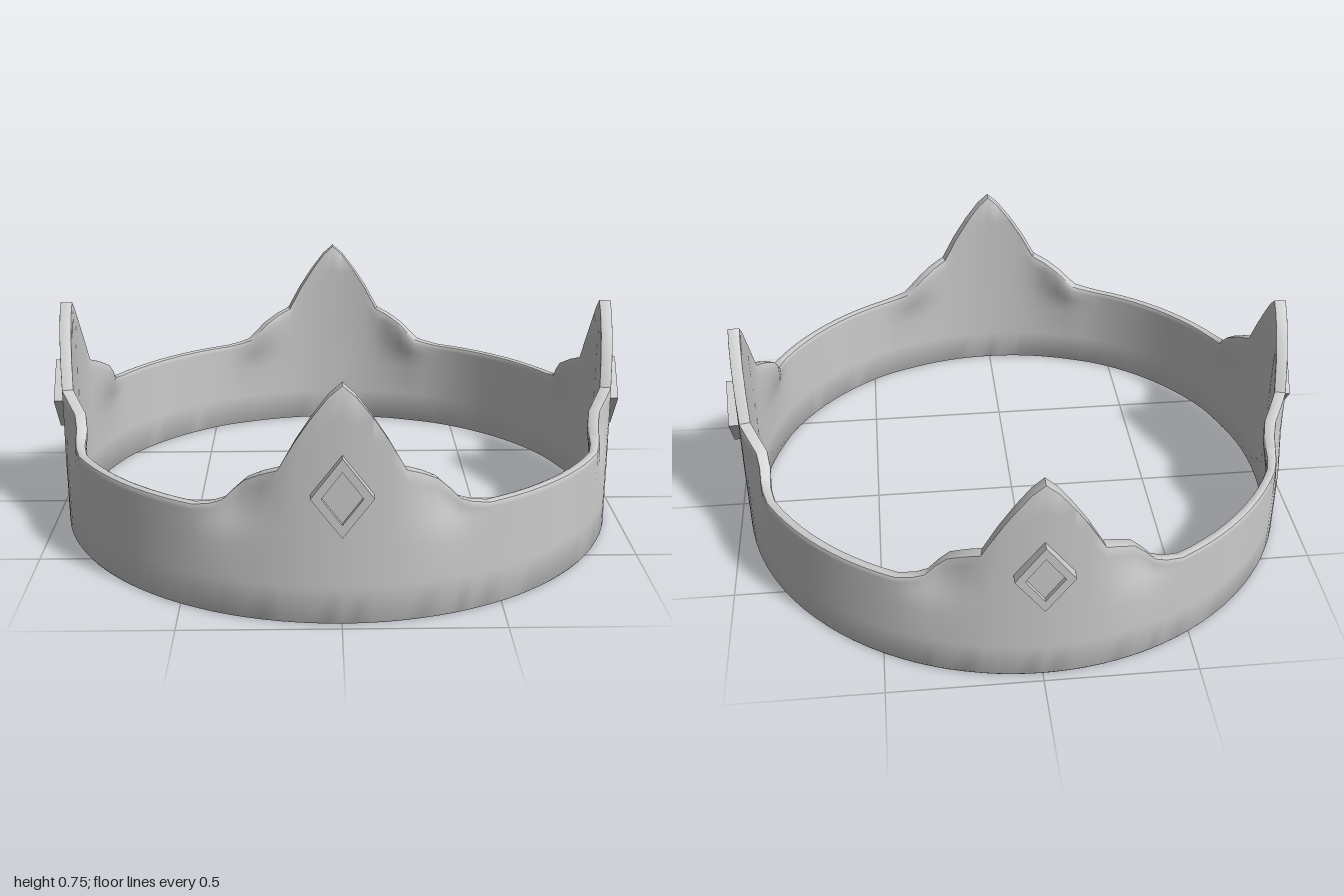
import * as THREE from 'three';
import { toCreasedNormals } from 'three/addons/utils/BufferGeometryUtils.js';

const R = 0.97;
const material = new THREE.MeshStandardMaterial({ color: 0xcccccc, side: THREE.DoubleSide });

// Half outlines by sideways distance from the centre of a peak
const rim = [[0, 0.755], [0.04, 0.72], [0.09, 0.655], [0.14, 0.58], [0.19, 0.49], [0.245, 0.468],
  [0.3, 0.438], [0.335, 0.405], [0.365, 0.372], [0.4, 0.36], [0.45, 0.35], [1, 0.35]];
const inset = [[0, 0], [0.19, 0.002], [0.25, 0.018], [0.3, 0.032], [0.34, 0.028], [0.38, 0.012], [0.44, 0], [1, 0]];
const thickness = [[0, 0.04], [0.36, 0.038], [0.46, 0.032], [1, 0.032]];
const rounding = [[0, 0.001], [0.3, 0.003], [0.4, 0.01], [1, 0.012]];

function lookup(table, x) {
  const k = Math.max(1, table.findIndex(p => p[0] >= x));
  const [x0, y0] = table[k - 1], [x1, y1] = table[k];
  return y0 + (y1 - y0) * (x - x0) / (x1 - x0);
}

// Cross-section [radius, y] of the wall: up the outside, over the rim, down the inside
function section(x) {
  const h = lookup(rim, x), t = lookup(thickness, x), c = lookup(rounding, x), d = lookup(inset, x);
  const lean = y => d * THREE.MathUtils.smoothstep(y, 0.24, h - 0.02);
  const levels = [0, 0.006, 0.12, 0.24, 0.29];
  for (let k = 1; k <= 5; k++) levels.push(0.29 + (h - c - 0.29) * k / 5);
  const outer = levels.map((y, k) => [R - lean(y) - (k ? 0 : 0.004), y]);
  const inner = levels.map((y, k) => [R - t - lean(y) + (k ? 0 : 0.004), y]).reverse();
  const top = [[R - d - c * 0.3, h - c * 0.3], [R - d - c, h], [R - d - t + c, h], [R - d - t + c * 0.3, h - c * 0.3]];
  return [...outer, ...top, ...inner];
}

// Closed band made of four identical quarters, each with one peak
function bandGeometry() {
  const half = rim.slice(0, -1).map(p => Math.asin(p[0] / R));
  const last = half[half.length - 1];
  for (let k = 1; k <= 5; k++) half.push(last + (Math.PI / 4 - last) * k / 5);
  const quarter = [...half.slice(1).reverse().map(a => -a), ...half.slice(0, -1)];
  const position = [], index = [];
  let columns = 0, n = 0;
  for (let q = 0; q < 4; q++) {
    for (const a of quarter) {
      const ring = section(R * Math.abs(Math.sin(a)));
      const angle = a + q * Math.PI / 2;
      n = ring.length;
      for (const [r, y] of ring) position.push(r * Math.sin(angle), y, r * Math.cos(angle));
      columns++;
    }
  }
  for (let i = 0; i < columns; i++) {
    for (let j = 0; j < n; j++) {
      const a = i * n + j, b = ((i + 1) % columns) * n + j;
      const d = i * n + (j + 1) % n, c = ((i + 1) % columns) * n + (j + 1) % n;
      index.push(a, b, c, a, c, d);
    }
  }
  const g = new THREE.BufferGeometry();
  g.setAttribute('position', new THREE.Float32BufferAttribute(position, 3));
  g.setIndex(index);
  return toCreasedNormals(g, 0.6);
}

function diamond(w, h, Type = THREE.Shape) {
  return new Type([[w, 0], [0, h], [-w, 0], [0, -h]].map(p => new THREE.Vector2(...p)));
}

function extrude(shape, depth) {
  return new THREE.ExtrudeGeometry(shape, { depth, bevelEnabled: false });
}

export function createModel() {
  const group = new THREE.Group();
  group.name = 'crown';
  const add = (parent, geometry, name) => {
    const mesh = new THREE.Mesh(geometry, material);
    mesh.name = name;
    parent.add(mesh);
    return mesh;
  };

  add(group, bandGeometry(), 'band');

  // Diamond ornament on each peak: raised frame around a recessed panel
  const frameShape = diamond(0.094, 0.125);
  frameShape.holes.push(diamond(0.062, 0.083, THREE.Path));
  const frame = extrude(frameShape, 0.045);
  const panel = extrude(diamond(0.064, 0.085), 0.03);
  ['front', 'left', 'back', 'right'].forEach((side, q) => {
    const ornament = new THREE.Group();
    ornament.name = side + 'Ornament';
    ornament.rotation.y = q * Math.PI / 2;
    add(ornament, frame, 'diamondFrame').position.set(0, 0.42, 0.955);
    add(ornament, panel, 'diamondPanel').position.set(0, 0.42, 0.955);
    group.add(ornament);
  });
  return group;
}
